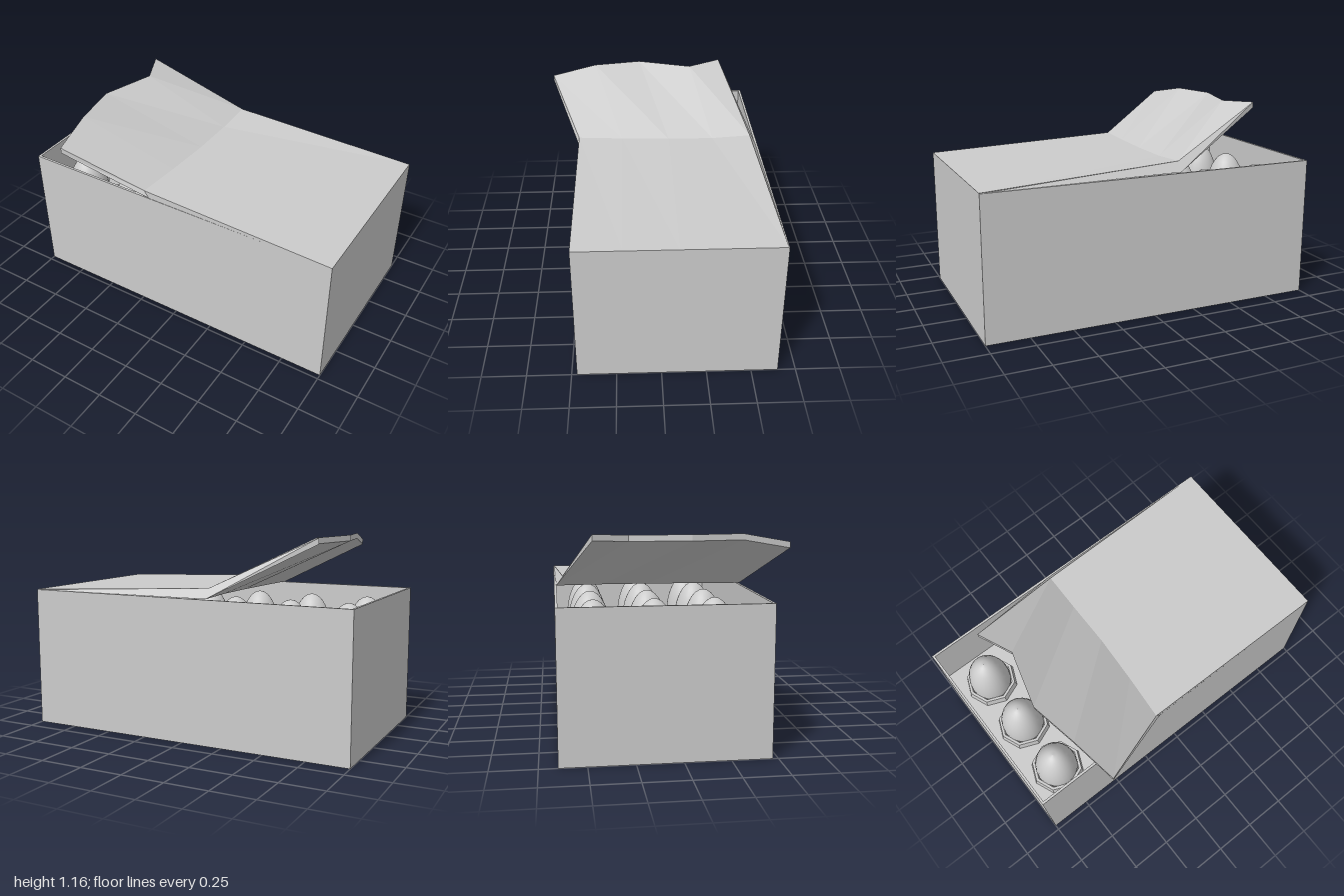
import * as THREE from 'three';

const material = (extra = {}) => new THREE.MeshStandardMaterial({ color: 0xcccccc, ...extra });

function add(parent, name, geometry, mat, x = 0, y = 0, z = 0) {
  const mesh = new THREE.Mesh(geometry, mat);
  mesh.name = name;
  mesh.position.set(x, y, z);
  parent.add(mesh);
  return mesh;
}

// Closed thin sheet between matching top and bottom grids of points
function sheetGeometry(top, bottom) {
  const rows = top.length, cols = top[0].length, pos = [], index = [];
  for (const grid of [top, bottom]) for (const row of grid) for (const p of row) pos.push(...p);
  const id = (i, j) => i * cols + j, under = rows * cols;
  const edge = [];
  for (let i = 0; i < rows - 1; i++) {
    for (let j = 0; j < cols - 1; j++) {
      const a = id(i, j), b = id(i, j + 1), c = id(i + 1, j), d = id(i + 1, j + 1);
      index.push(a, b, c, b, d, c);
      index.push(a + under, c + under, b + under, b + under, c + under, d + under);
    }
    edge.push([id(i + 1, 0), id(i, 0)], [id(i, cols - 1), id(i + 1, cols - 1)]);
  }
  for (let j = 0; j < cols - 1; j++) {
    edge.push([id(0, j), id(0, j + 1)], [id(rows - 1, j + 1), id(rows - 1, j)]);
  }
  for (const [a, b] of edge) index.push(a, a + under, b, b, a + under, b + under);
  const g = new THREE.BufferGeometry();
  g.setAttribute('position', new THREE.Float32BufferAttribute(pos, 3));
  g.setIndex(index);
  g.computeVertexNormals();
  return g;
}

export function createModel() {
  const model = new THREE.Group();
  const grey = material();
  const flat = material({ flatShading: true, side: THREE.DoubleSide });

  // Open box: floor and four thin walls
  const box = new THREE.Group();
  box.name = 'box';
  model.add(box);
  const zBack = -0.65, zFront = 0.47, height = 0.825, t = 0.014;
  const depth = zFront - zBack, zMid = (zFront + zBack) / 2;
  add(box, 'floor', new THREE.BoxGeometry(2, t, depth), grey, 0, t / 2, zMid);
  for (const s of [-1, 1]) {
    add(box, s < 0 ? 'rightWall' : 'leftWall', new THREE.BoxGeometry(t, height, depth),
      grey, s * (1 - t / 2), height / 2, zMid);
    add(box, s < 0 ? 'backWall' : 'frontWall', new THREE.BoxGeometry(2 - 2 * t, height, t),
      grey, 0, height / 2, zMid + s * (depth - t) / 2);
  }

  // Tray with eight-sided cups, each holding an egg
  add(model, 'tray', new THREE.BoxGeometry(2 - 2 * t, 0.02, depth - 2 * t), grey, 0, 0.44, zMid);
  const cupProfile = [[0.16, 0.45], [0.152, 0.5], [0.135, 0.5], [0.115, 0.45]]
    .map(([r, y]) => new THREE.Vector2(r, y));
  const cupGeometry = new THREE.LatheGeometry(cupProfile, 8);
  const eggProfile = [];
  for (let i = 0; i <= 16; i++) {
    const a = -Math.PI / 2 + (Math.PI * i) / 16;
    eggProfile.push(new THREE.Vector2(Math.max(0, 0.127 * Math.cos(a)),
      0.51 + (a < 0 ? 0.14 : 0.27) * Math.sin(a)));
  }
  const eggGeometry = new THREE.LatheGeometry(eggProfile, 24);
  for (let col = 0; col < 5; col++) {
    for (let row = 0; row < 3; row++) {
      const x = -0.787 + col * 0.36, z = -0.435 + row * 0.35;
      add(model, 'cup', cupGeometry, flat, x, 0, z);
      add(model, 'egg', eggGeometry, grey, x, 0, z);
    }
  }

  // Lid: rows run from the closed end to the crease and the torn, raised end
  const top = [
    [0.47, 0.2, -0.09, -0.365, -0.645].map((z) => [1, 0.828, z]),
    [[-0.19, 0.87, 0.47], [-0.17, 0.87, 0.2], [-0.155, 0.87, -0.09],
      [-0.155, 0.87, -0.365], [-0.155, 0.885, -0.6]],
    [[-0.63, 1.11, 0.645], [-0.68, 1.16, 0.37], [-0.735, 1.16, 0.08],
      [-0.645, 1.155, -0.25], [-0.735, 1.165, -0.45]],
  ];
  const drop = [0.004, 0.043, 0.034];
  const bottom = top.map((row, i) => row.map(([x, y, z]) => [x + (i === 1 ? 0.03 : 0), y - drop[i], z]));
  bottom[1][4] = [-0.155, 0.828, -0.637];
  add(model, 'lid', sheetGeometry(top, bottom), flat);

  return model;
}
